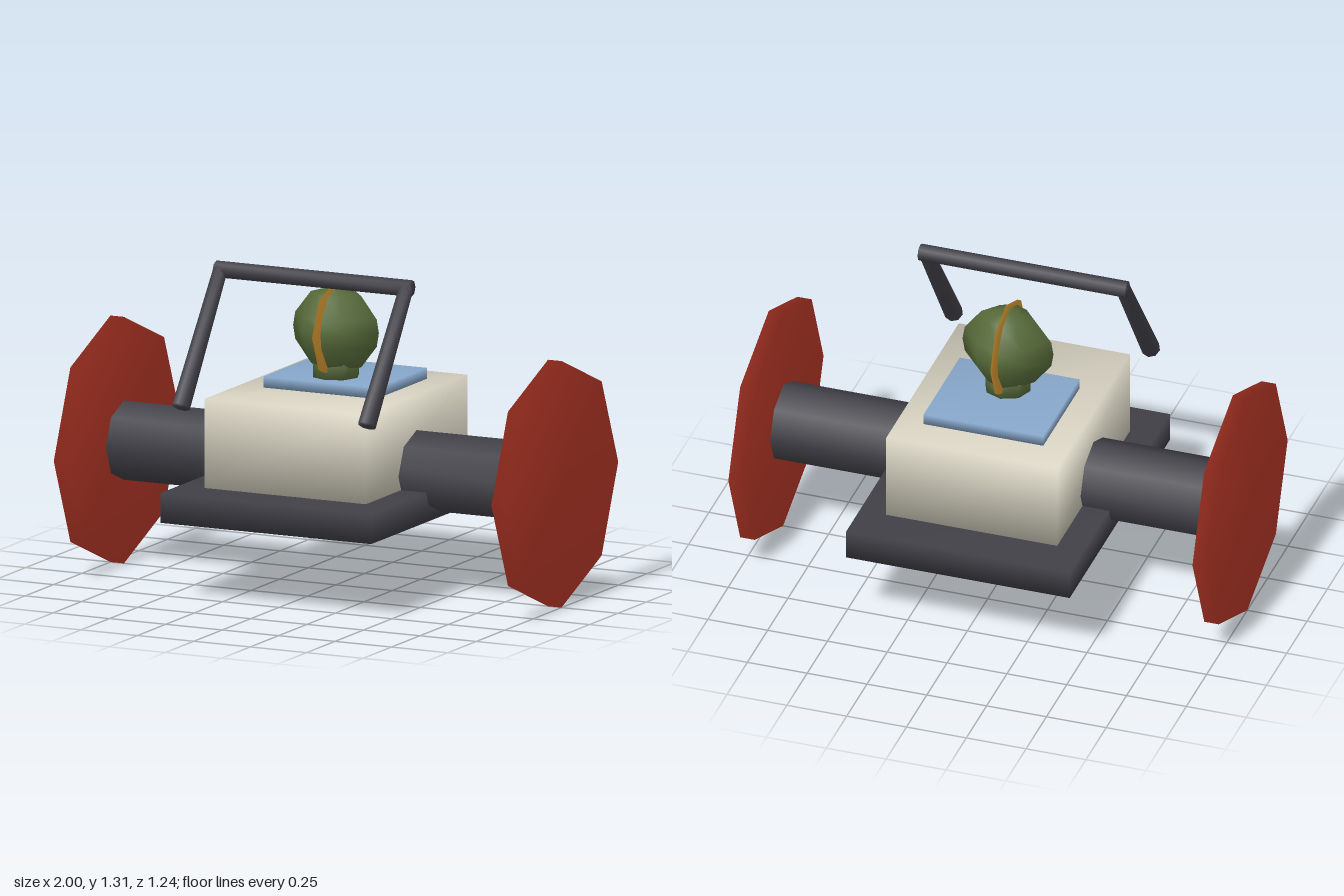
import * as THREE from 'three';
import { mergeVertices } from 'three/addons/utils/BufferGeometryUtils.js';

const mat = (name, color) => new THREE.MeshStandardMaterial({ name, color });

// Weld corners so that shading runs smoothly over every edge
function weld(geometry) {
  geometry.deleteAttribute('uv');
  geometry.deleteAttribute('normal');
  const g = mergeVertices(geometry, 1e-4);
  g.computeVertexNormals();
  return g;
}

export function createModel() {
  const model = new THREE.Group();
  model.name = 'rollerVehicle';
  const charcoal = mat('charcoal', 0x403f46);
  const red = mat('red', 0xb53626);
  const cream = mat('cream', 0xdad5c4);
  const blue = mat('blue', 0x86a6c9);
  const green = mat('green', 0x566a39);
  const orange = mat('orange', 0xd3952f);

  function add(name, geometry, material, x = 0, y = 0, z = 0) {
    const mesh = new THREE.Mesh(weld(geometry), material);
    mesh.name = name;
    mesh.position.set(x, y, z);
    model.add(mesh);
    return mesh;
  }
  const box = (w, h, d) => new THREE.BoxGeometry(w, h, d);
  const drumX = (r, length) => new THREE.CylinderGeometry(r, r, length, 8).rotateZ(Math.PI / 2);

  // Chassis and body
  add('baseSlab', box(0.935, 0.12, 1.235), charcoal, 0, 0.38, 0);
  add('body', box(0.715, 0.36, 0.895), cream, 0, 0.62, 0);
  add('seatPlate', box(0.5, 0.045, 0.445), blue, 0, 0.822, -0.08);

  // Axle and wheels
  add('axle', drumX(0.16, 1.9), charcoal, 0, 0.498, 0);
  for (const s of [1, -1]) {
    add(s > 0 ? 'leftWheel' : 'rightWheel', drumX(0.498, 0.06), red, s * 0.97, 0.498, 0);
  }

  // Head: an eight-sided lathe, narrowed towards the sides
  const profile = [];
  for (let i = 0; i <= 5; i++) {
    const a = i === 0 ? -Math.PI / 2 : i === 5 ? Math.PI / 2 : (i - 2.5) * Math.PI / 5;
    profile.push(new THREE.Vector2(0.19 * Math.cos(a), 0.178 * Math.sin(a)));
  }
  profile.splice(3, 0, new THREE.Vector2(0.19, 0));
  const headShape = new THREE.LatheGeometry(profile, 8);
  const p = headShape.attributes.position;
  for (let i = 0; i < p.count; i++) {
    const x = p.getX(i), z = p.getZ(i), r = Math.hypot(x, z);
    p.setX(i, r > 1e-6 ? x * Math.abs(x) / r : 0);
    p.setZ(i, z * 0.82);
  }
  add('head', headShape, green, 0, 1.033, 0);
  add('neck', new THREE.CylinderGeometry(0.095, 0.095, 0.09, 8), green, 0, 0.888, 0);
  add('crest', drumX(0.195, 0.016), orange, 0, 1.03, 0);

  // Push handle: crossbar and two sloping arms
  add('handleBar', drumX(0.034, 0.865), charcoal, 0, 1.272, 0.193);
  const top = new THREE.Vector3(0, 1.275, 0.197);
  const bottom = new THREE.Vector3(0, 0.78, 0.545);
  const run = top.clone().sub(bottom);
  for (const s of [1, -1]) {
    const arm = add(s > 0 ? 'leftHandleArm' : 'rightHandleArm',
      new THREE.CylinderGeometry(0.03, 0.038, run.length(), 8), charcoal);
    arm.position.copy(top).add(bottom).multiplyScalar(0.5).setX(s * 0.412);
    arm.quaternion.setFromUnitVectors(new THREE.Vector3(0, 1, 0), run.clone().normalize());
  }
  return model;
}
